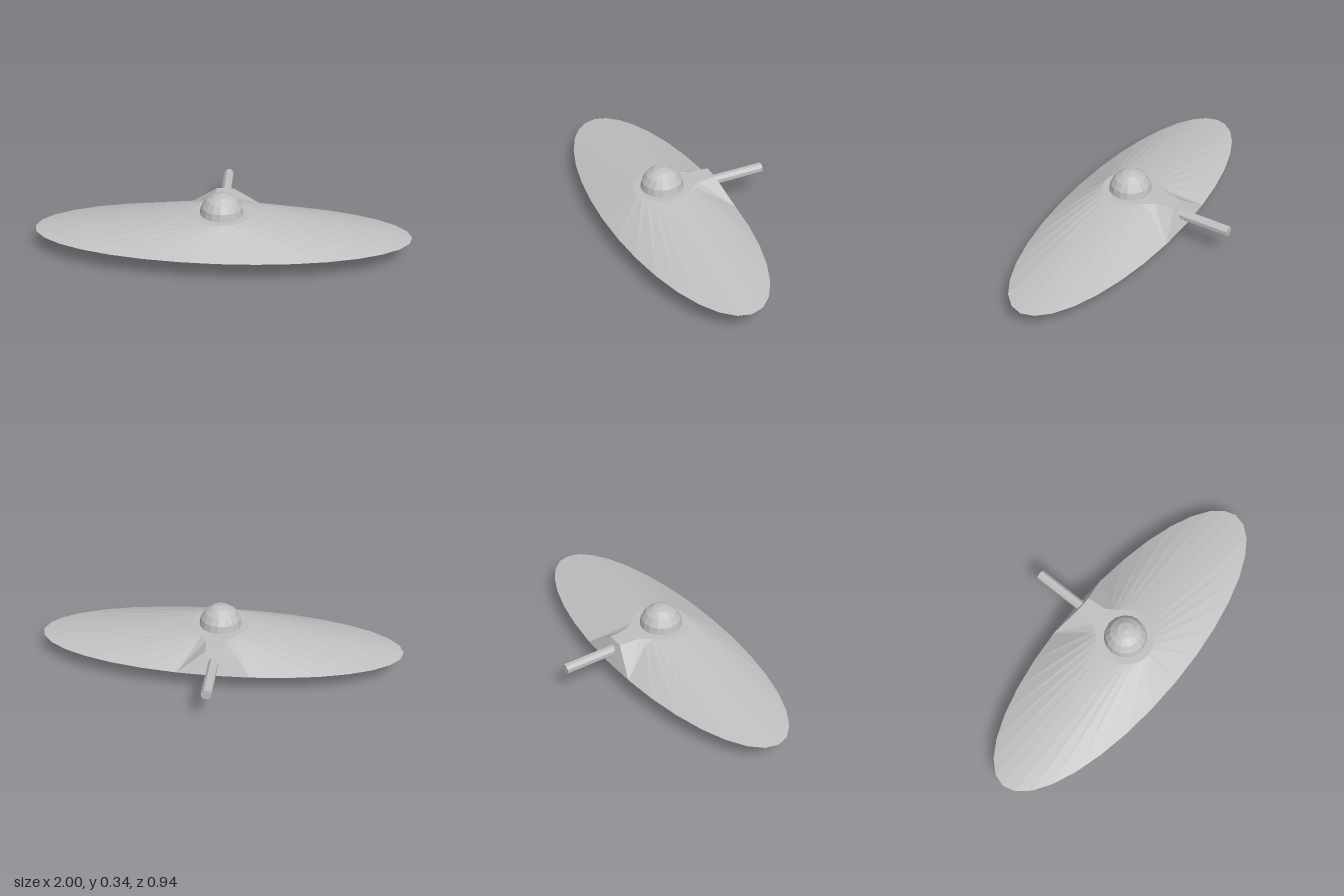
import * as THREE from 'three';

const CZ = 0.125;                    // saucer centre in z
const RIM_Y = 0.115, TOP_Y = 0.228;  // heights of the rim and the upper deck
const R0 = 0.155, RX = 1, RZ = 0.345; // hub radius and rim half axes
const BAY = { inner: R0, outer: 0.81, zInner: 0.24, zOuter: 0.12 };
const SLOPE = (BAY.zInner - BAY.zOuter) / (BAY.outer - BAY.inner);
const SIDES = 32;

// Point on the straight line from hub circle (s = 0) to rim (s = 1)
const ray = (a, s, y) => [
  (R0 + (RX - R0) * s) * Math.cos(a), y, CZ + (R0 + (RZ - R0) * s) * Math.sin(a),
];

function geometryFrom(triangles) {
  const g = new THREE.BufferGeometry();
  g.setAttribute('position', new THREE.Float32BufferAttribute(triangles.flat(2), 3));
  g.computeVertexNormals();
  return g;
}

// Skin between successive profiles, one for each angle
function sweep(angles, profile) {
  const tris = [];
  for (let i = 0; i + 1 < angles.length; i++) {
    const mid = (angles[i] + angles[i + 1]) / 2;
    const p = profile(angles[i], mid), q = profile(angles[i + 1], mid);
    for (let j = 0; j + 1 < p.length; j++) {
      tris.push([p[j], p[j + 1], q[j]], [p[j + 1], q[j + 1], q[j]]);
    }
  }
  return geometryFrom(tris);
}

// Angle of the hull line that passes through a plan point
function angleThrough(x, z) {
  let lo = 0, hi = 1;
  for (let i = 0; i < 40; i++) {
    const s = (lo + hi) / 2;
    const f = (x / (R0 + (RX - R0) * s)) ** 2 + (z / (R0 + (RZ - R0) * s)) ** 2;
    if (f > 1) lo = s; else hi = s;
  }
  return Math.atan2(z / (R0 + (RZ - R0) * lo), x / (R0 + (RX - R0) * lo));
}

export function createModel() {
  const group = new THREE.Group();
  const hullGrey = new THREE.MeshStandardMaterial({ color: 0xc0c0c0 });
  hullGrey.name = 'hullGrey';
  hullGrey.flatShading = true;
  const add = (name, geometry) => {
    const mesh = new THREE.Mesh(geometry, hullGrey);
    mesh.name = name;
    group.add(mesh);
    return mesh;
  };

  // Upper hull: shallow elliptical cone with a round deck
  const ringAngles = Array.from({ length: SIDES + 1 }, (_, i) => (i / SIDES) * Math.PI * 2);
  add('upperHull', sweep(ringAngles, (a) => [
    ray(a, 1, RIM_Y), ray(a, 0, TOP_Y), [0, TOP_Y, CZ],
  ]));

  // Lower hull with a tapering bay cut into each wing
  const bayEnd = angleThrough(BAY.inner, BAY.zInner);
  const bayCorner = angleThrough(BAY.outer, BAY.zOuter);
  const lowerAngles = [...ringAngles];
  for (const c of [bayEnd, bayCorner]) {
    lowerAngles.push(c, Math.PI - c, Math.PI + c, 2 * Math.PI - c);
  }
  lowerAngles.sort((a, b) => a - b);
  const endCos = Math.cos(bayEnd);
  add('lowerHull', sweep(lowerAngles, (a, mid) => {
    const c = Math.abs(Math.cos(a)), n = Math.abs(Math.sin(a));
    const start = [[0, 0, CZ], ray(a, 0, 0)];
    if (Math.abs(Math.cos(mid)) < endCos) return [...start, ray(a, 1, RIM_Y)];
    const s0 = (BAY.inner - R0 * c) / ((RX - R0) * c);
    const sTip = (BAY.outer - R0 * c) / ((RX - R0) * c);
    const sSide = (BAY.zInner + SLOPE * BAY.inner - R0 * n - SLOPE * R0 * c)
      / ((RZ - R0) * n + SLOPE * (RX - R0) * c);
    const s1 = Math.max(s0, Math.min(sTip, sSide));
    return [
      ...start,
      ray(a, s0, RIM_Y * s0), ray(a, s0, RIM_Y), // inner wall
      ray(a, s1, RIM_Y), ray(a, s1, RIM_Y * s1), // ceiling and outer wall
      ray(a, 1, RIM_Y),
    ];
  }));

  // Rear fairing: flat spine flaring down to the rim
  const spine = [[0.1, 0.007], [0.055, -0.06], [0.045, -0.168]];
  const right = spine.map(([x, z]) => [x, TOP_Y, z]);
  const left = spine.map(([x, z]) => [-x, TOP_Y, z]);
  const corner = ray(-Math.PI / 2 + Math.PI / 16, 1, RIM_Y);
  const cornerL = [-corner[0], corner[1], corner[2]];
  const back = ray(-Math.PI / 2, 1, RIM_Y);
  const fairing = [
    [right[2], corner, back], [right[2], back, left[2]], [left[2], back, cornerL],
  ];
  for (let i = 0; i < 2; i++) {
    fairing.push(
      [left[i], right[i], right[i + 1]], [left[i], right[i + 1], left[i + 1]],
      [right[i], corner, right[i + 1]], [left[i], left[i + 1], cornerL],
    );
  }
  add('rearFairing', geometryFrom(fairing));

  // Dome on the deck
  add('dome', new THREE.SphereGeometry(0.117, 16, 4, 0, Math.PI * 2, 0, Math.PI / 2))
    .position.set(0, 0.222, CZ);

  // Rear tube
  const tube = new THREE.CylinderGeometry(0.028, 0.028, 0.305, 8);
  tube.rotateY(Math.PI / 8);
  tube.rotateX(Math.PI / 2);
  add('rearTube', tube).position.set(0, 0.175, -0.3225);

  return group;
}
